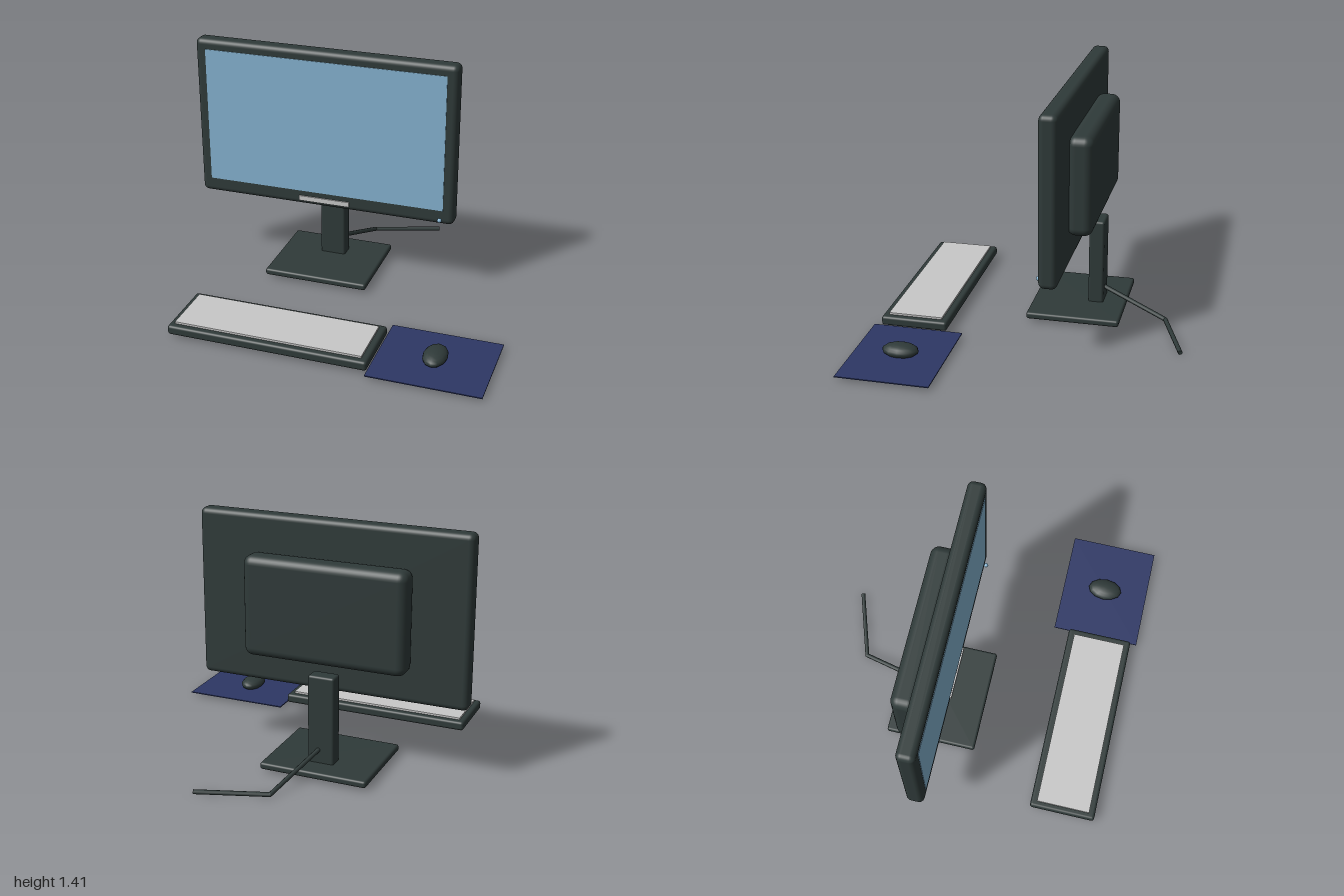
import * as THREE from 'three';
import { RoundedBoxGeometry } from 'three/addons/geometries/RoundedBoxGeometry.js';

const material = (name, color) => {
  const m = new THREE.MeshStandardMaterial({ color });
  m.name = name;
  return m;
};

export function createModel() {
  const casing = material('charcoal casing', 0x2f3a39);
  const glass = material('blue screen', 0x84b2d0);
  const light = material('light grey', 0xc8c8c8);
  const cloth = material('navy cloth', 0x2d3765);
  const root = new THREE.Group();
  root.name = 'desktopSet';

  const add = (name, geometry, mat, parent = root) => {
    const mesh = new THREE.Mesh(geometry, mat);
    mesh.name = name;
    parent.add(mesh);
    return mesh;
  };
  // Box between two corners, with rounded edges when radius > 0
  const box = (name, a, b, mat, radius = 0, parent = root) => {
    const size = a.map((v, i) => b[i] - v);
    const geometry = radius > 0 ? new RoundedBoxGeometry(...size, 4, radius) : new THREE.BoxGeometry(...size);
    const mesh = add(name, geometry, mat, parent);
    mesh.position.set(...a.map((v, i) => (v + b[i]) / 2));
    return mesh;
  };
  const group = (name) => {
    const g = new THREE.Group();
    g.name = name;
    root.add(g);
    return g;
  };

  // Monitor: slab, rear housing, screen, badge strip and power button
  const monitor = group('monitor');
  box('monitorFrame', [-1, 0.44, -0.23], [0.575, 1.41, -0.126], casing, 0.032, monitor);
  box('rearHousing', [-0.685, 0.625, -0.36], [0.26, 1.2, -0.215], casing, 0.05, monitor);
  box('screen', [-0.937, 0.53, -0.13], [0.512, 1.35, -0.123], glass, 0, monitor);
  box('badgeStrip', [-0.37, 0.468, -0.127], [-0.058, 0.498, -0.118], light, 0, monitor);
  add('powerButton', new THREE.SphereGeometry(0.013, 12, 8), glass, monitor).position.set(0.496, 0.472, -0.115);

  // Stand
  const stand = group('stand');
  box('standNeck', [-0.29, 0.04, -0.365], [-0.135, 0.57, -0.275], casing, 0.014, stand);
  box('standBase', [-0.53, 0.02, -0.495], [0.1, 0.06, 0.05], casing, 0.014, stand);

  // Cable: straight rods between the bend points
  const cable = group('cable');
  const bends = [[-0.205, 0.143, -0.345], [-0.083, 0.015, -0.745], [0.31, 0.015, -0.878]]
    .map((p) => new THREE.Vector3(...p));
  for (let i = 0; i < bends.length - 1; i++) {
    const dir = bends[i + 1].clone().sub(bends[i]);
    const rod = add('cableSegment', new THREE.CylinderGeometry(0.013, 0.013, dir.length(), 8), casing, cable);
    rod.position.copy(bends[i]).addScaledVector(dir, 0.5);
    rod.quaternion.setFromUnitVectors(new THREE.Vector3(0, 1, 0), dir.normalize());
  }
  add('cableBend', new THREE.SphereGeometry(0.013, 8, 6), casing, cable).position.copy(bends[1]);

  // Keyboard
  const keyboard = group('keyboard');
  box('keyboardBody', [-0.79, 0.02, 0.455], [0.365, 0.075, 0.845], casing, 0.016, keyboard);
  box('keyPlate', [-0.757, 0.07, 0.492], [0.327, 0.087, 0.808], light, 0, keyboard);

  // Mouse and mat
  box('mouseMat', [0.367, 0.019, 0.36], [1, 0.025, 0.885], cloth);
  const mouse = add('mouse', new THREE.SphereGeometry(1, 12, 10), casing);
  mouse.scale.set(0.068, 0.039, 0.104);
  mouse.position.set(0.682, 0.05, 0.62);

  return root;
}
